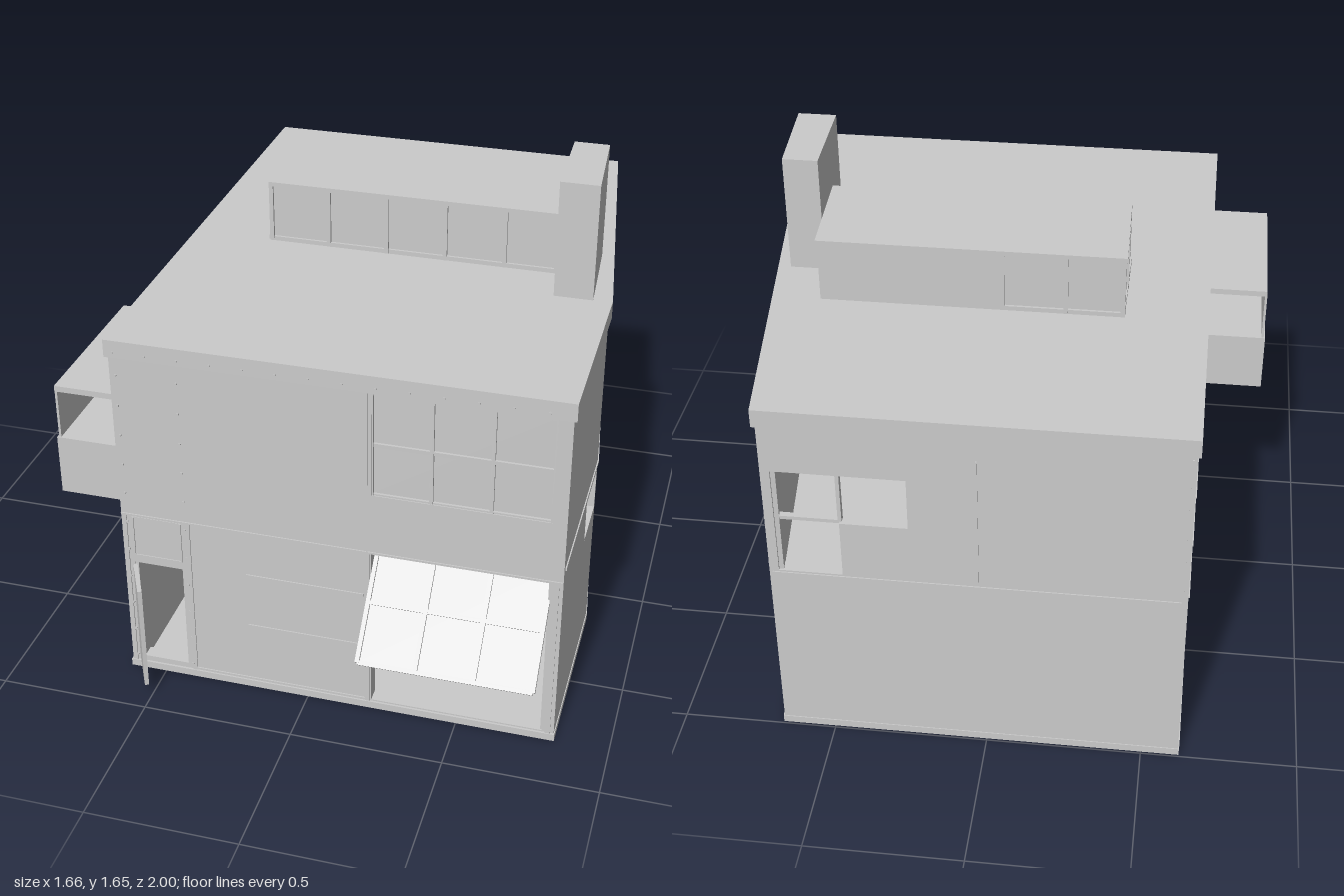
import * as THREE from 'three';

const mat = new THREE.MeshStandardMaterial({ color: 0xcccccc, flatShading: true, side: THREE.DoubleSide });
const T = 0.045; // wall thickness
const TOP = 1.2;

function add(parent, name, geo, x = 0, y = 0, z = 0) {
  const m = new THREE.Mesh(geo, mat);
  m.name = name;
  m.position.set(x, y, z);
  parent.add(m);
  return m;
}

// Box given by its extents
function box(parent, name, x0, x1, y0, y1, z0, z1) {
  return add(parent, name, new THREE.BoxGeometry(x1 - x0, y1 - y0, z1 - z0),
    (x0 + x1) / 2, (y0 + y1) / 2, (z0 + z1) / 2);
}

// Upright prism over a plan of [x, z] corners
function prism(parent, name, plan, y0, y1) {
  const shape = new THREE.Shape(plan.map(([x, z]) => new THREE.Vector2(x, -z)));
  const geo = new THREE.ExtrudeGeometry(shape, { depth: y1 - y0, bevelEnabled: false });
  geo.rotateX(-Math.PI / 2);
  return add(parent, name, geo, 0, y0, 0);
}

const rect = (u0, u1, v0, v1) => [[u0, v0], [u1, v0], [u1, v1], [u0, v1]];

// Wall with openings; local x runs along the wall, local z points outward
function wall(parent, name, x, z, angle, u0, u1, holes = []) {
  const g = new THREE.Group();
  g.name = name;
  g.position.set(x, 0, z);
  g.rotation.y = angle;
  parent.add(g);
  const vec = (pts) => pts.map(([u, v]) => new THREE.Vector2(u, v));
  const shape = new THREE.Shape(vec(rect(u0, u1, 0.01, TOP)));
  holes.forEach((h) => shape.holes.push(new THREE.Path(vec(h))));
  add(g, name + 'Panel', new THREE.ExtrudeGeometry(shape, { depth: T, bevelEnabled: false }), 0, 0, -T);
  return g;
}

// Glazing bars with an optional pane behind them
function grid(parent, name, u0, u1, v0, v1, cols, rows, z, pane = true, b = 0.006) {
  for (let i = 0; i <= cols; i++) {
    const u = u0 + (u1 - u0) * i / cols;
    box(parent, name + 'Upright', u - b, u + b, v0, v1, z - 0.015, z);
  }
  for (let j = 0; j <= rows; j++) {
    const v = v0 + (v1 - v0) * j / rows;
    box(parent, name + 'Rail', u0, u1, v - b, v + b, z - 0.014, z - 0.001);
  }
  if (pane) box(parent, name + 'Pane', u0, u1, v0, v1, z - 0.014, z - 0.009);
}

// Thin raised seam
function seam(parent, u0, u1, v0, v1) {
  box(parent, 'panelSeam', u0, u1, v0, v1, -0.005, 0.004);
}

// Row of small rivets from (u0, v0) to (u1, v1)
function rivets(parent, u0, v0, u1, v1, n, z = 0.002) {
  for (let i = 0; i < n; i++) {
    const k = i / (n - 1);
    const r = add(parent, 'rivet', new THREE.CylinderGeometry(0.004, 0.004, 0.008, 6),
      u0 + (u1 - u0) * k, v0 + (v1 - v0) * k, z);
    r.rotation.x = Math.PI / 2;
  }
}

export function createModel() {
  const house = new THREE.Group();
  house.name = 'house';

  // Slabs
  prism(house, 'roofSlab', [[-0.63, -1], [0.68, -1], [0.83, 0.15], [0.83, 0.81], [-0.63, 0.81]], 1.195, 1.255);
  prism(house, 'groundSlab', [[-0.623, -0.993], [0.673, -0.993], [0.823, 0.15], [0.823, 0.807], [-0.623, 0.807]], 0, 0.025);
  prism(house, 'middleFloor', [[-0.6, -0.97], [0.65, -0.97], [0.8, 0.15], [0.8, 0.78], [-0.6, 0.78]], 0.62, 0.645);

  // Front wall: doorway, large open bay, upper window
  const front = wall(house, 'frontWall', 0, 0.8, 0, -0.62, 0.82, [
    rect(-0.585, -0.42, 0.045, 0.43),
    rect(0.215, 0.78, 0.03, 0.612),
    rect(0.215, 0.775, 0.83, 1.19),
  ]);
  grid(front, 'upperWindow', 0.215, 0.775, 0.83, 1.19, 3, 2, -0.002);
  [-0.61, -0.395, 0.203, 0.8].forEach((x) => seam(front, x - 0.008, x + 0.008, 0.025, 0.613));
  seam(front, -0.62, 0.82, 0.613, 0.62);
  seam(front, -0.39, 0.2, 0.027, 0.035);
  [0.25, 0.45].forEach((y) => seam(front, -0.2, 0.19, y - 0.004, y + 0.004));
  grid(front, 'doorTransom', -0.582, -0.42, 0.46, 0.608, 1, 1, 0.004, false, 0.003);
  seam(front, 0.2, 0.204, 0.62, 1.195);
  [-0.6, -0.402].forEach((x) => rivets(front, x, 0.05, x, 1.13, 11));
  rivets(front, -0.6, 1.215, 0.75, 1.215, 14, 0.01);

  // Open door
  const door = new THREE.Group();
  door.name = 'door';
  door.position.set(-0.583, 0, 0.805);
  door.rotation.y = -1.1;
  box(door, 'doorLeaf', 0, 0.155, 0.045, 0.425, -0.007, 0.007);
  house.add(door);

  // Tilted pivot window
  const pivot = new THREE.Group();
  pivot.name = 'pivotWindow';
  pivot.position.set(0.4975, 0.468, 0.855);
  pivot.rotation.x = -0.77;
  grid(pivot, 'pivotWindow', -0.276, 0.276, -0.19, 0.19, 3, 2, 0.01, true, 0.007);
  house.add(pivot);

  // Right wall in two parts with a bend, one small opening in each
  const rightA = wall(house, 'rightWallFront', 0.82, 0, Math.PI / 2, -0.795, -0.15,
    [rect(-0.362, -0.156, 0.478, 0.625)]);
  seam(rightA, -0.78, -0.15, 0.651, 0.661);
  const len = Math.hypot(0.15, 1.14);
  const rightB = wall(house, 'rightWallBack', 0.82, 0.15, Math.PI / 2 + Math.atan2(0.15, 1.14), 0, len - 0.002,
    [rect(0.378, 0.565, 0.478, 0.625)]);
  seam(rightB, 0, 1.13, 0.651, 0.661);

  // Back wall with a stepped window
  const back = wall(house, 'backWall', 0, -0.99, Math.PI, -0.67, 0.62, [
    [[-0.64, 0.65], [-0.44, 0.65], [-0.44, 0.85], [-0.23, 0.85], [-0.23, 1.03], [-0.64, 1.03]],
  ]);
  box(back, 'backWindowUpright', -0.446, -0.434, 0.85, 1.03, -0.03, -0.01);
  box(back, 'backWindowRail', -0.64, -0.44, 0.844, 0.856, -0.03, -0.01);
  seam(back, -0.66, 0.6, 0.638, 0.644);
  seam(back, -0.022, -0.017, 0.65, 1.12);
  seam(back, 0.606, 0.611, 0.65, 1.18);

  // Left wall with ribbon window and panel seams
  const left = wall(house, 'leftWall', -0.62, 0, -Math.PI / 2, -0.985, 0.795, [rect(-0.95, -0.41, 0.3, 0.61)]);
  grid(left, 'leftWindow', -0.95, -0.41, 0.3, 0.61, 3, 2, -0.002);
  [-0.38, 0.19].forEach((z) => seam(left, z - 0.005, z + 0.005, 0.025, 1.195));
  [0.65, 0.85, 1.03].forEach((y) => seam(left, -0.97, -0.38, y - 0.003, y + 0.003));
  [-0.19, -0.02].forEach((z) => seam(left, z - 0.004, z + 0.004, 0.55, 1.05));
  [0.72, 0.85, 1.0].forEach((y) => seam(left, 0, 0.19, y - 0.003, y + 0.003));
  seam(left, -0.98, 0.79, 0.025, 0.033);
  rivets(left, -0.96, 1.17, 0.78, 1.17, 18);

  // Projecting bay, open at both ends above its parapet
  box(house, 'bayParapet', -0.835, -0.62, 0.645, 0.85, 0.2, 0.77);
  box(house, 'bayOuterPanel', -0.83, -0.822, 0.85, 1.03, 0.205, 0.765);
  box(house, 'bayRoof', -0.828, -0.62, 1.02, 1.04, 0.2, 0.77);
  box(house, 'bayInnerFrame', -0.634, -0.62, 0.85, 1.02, 0.205, 0.765);

  // Rooftop clerestory
  const inset = 0.01;
  prism(house, 'clerestoryBody', [[-0.37 + inset, -0.37 + inset], [0.6, -0.37 + inset], [0.62, -inset], [-0.36 + inset, -inset]], 1.25, 1.455);
  prism(house, 'clerestoryRoof', [[-0.37, -0.37], [0.61, -0.37], [0.63, 0], [-0.36, 0]], 1.453, 1.468);
  for (let i = 0; i <= 5; i++) {
    const x = Math.min(-0.353 + i * 0.2, 0.62);
    box(house, 'clerestoryMullion', x - 0.007, x + 0.007, 1.255, 1.455, -0.02, -0.001);
  }
  box(house, 'clerestorySill', -0.36, 0.625, 1.255, 1.27, -0.02, -0.002);
  [-0.36, -0.18, 0.02].forEach((x) =>
    box(house, 'clerestoryMullion', x - 0.007, x + 0.007, 1.255, 1.455, -0.369, -0.35));
  box(house, 'clerestoryBackWall', 0.02, 0.605, 1.255, 1.455, -0.368, -0.35);
  box(house, 'clerestoryBackSill', -0.36, 0.02, 1.255, 1.27, -0.368, -0.35);
  box(house, 'clerestoryEndMullion', -0.367, -0.35, 1.255, 1.455, -0.192, -0.178);
  box(house, 'clerestoryEndSill', -0.366, -0.35, 1.255, 1.27, -0.36, -0.01);

  // Chimney
  prism(house, 'chimney', [[0.63, -0.18], [0.745, -0.18], [0.768, 0.157], [0.641, 0.157]], 1.25, 1.648);

  return house;
}
